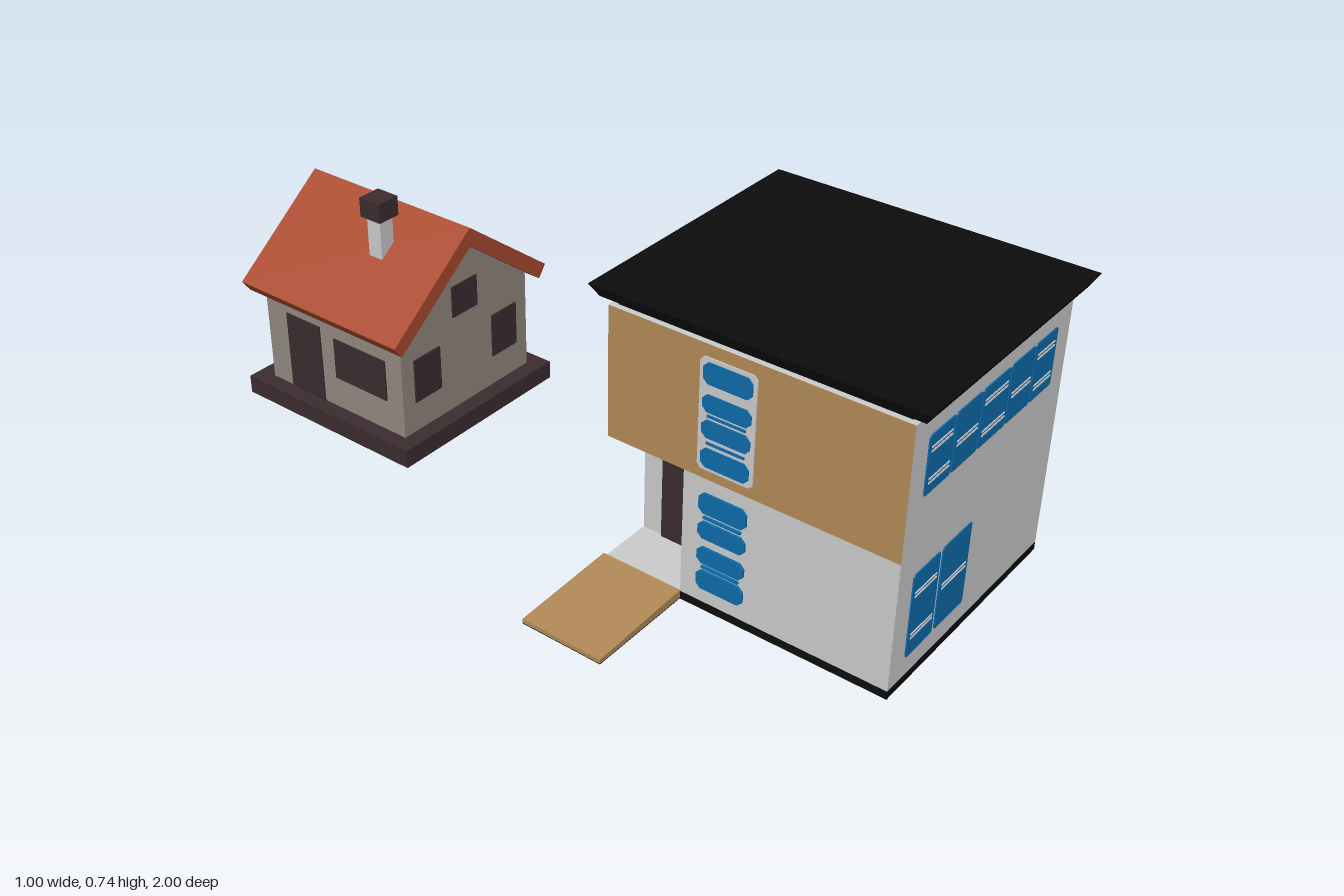
import * as THREE from 'three';

const mat = (name, color) => Object.assign(new THREE.MeshStandardMaterial({ color }), { name });
const wall = mat('light grey wall', 0xcbcbcb);
const black = mat('black trim', 0x0d0d0d);
const tan = mat('tan cladding', 0xb28a57);
const blue = mat('blue glass', 0x0e6bab);
const stone = mat('warm grey wall', 0x91897f);
const dark = mat('dark brown', 0x3b2c2f);
const tile = mat('red roof tile', 0xaa492e);

function add(parent, name, geometry, material) {
  const mesh = new THREE.Mesh(geometry, material);
  mesh.name = name;
  parent.add(mesh);
  return mesh;
}

// Box given by its two limits along each axis
function box(parent, name, [x0, x1], [y0, y1], [z0, z1], material) {
  const mesh = add(parent, name, new THREE.BoxGeometry(x1 - x0, y1 - y0, z1 - z0), material);
  mesh.position.set((x0 + x1) / 2, (y0 + y1) / 2, (z0 + z1) / 2);
  return mesh;
}

function extrude(points, depth) {
  const shape = new THREE.Shape(points.map(([x, y]) => new THREE.Vector2(x, y)));
  return new THREE.ExtrudeGeometry(shape, { depth, bevelEnabled: false });
}

// Upright group whose local +z points out of a wall
function wallGroup(parent, name, x, z, angle) {
  const g = new THREE.Group();
  g.name = name;
  g.position.set(x, 0, z);
  g.rotation.y = angle;
  parent.add(g);
  return g;
}

// Thin plate with cut corners
function pane(parent, name, x0, x1, y0, y1, c, out, material) {
  const geo = extrude([[x0 + c, y0], [x1 - c, y0], [x1, y0 + c], [x1, y1 - c],
    [x1 - c, y1], [x0 + c, y1], [x0, y1 - c], [x0, y0 + c]], out);
  return add(parent, name, geo, material);
}

// Column of glass crossed by pairs of fine glazing bars
function glassColumn(parent, x0, x1, y0, y1, cuts) {
  pane(parent, 'glassPane', x0 + 0.002, x1 - 0.002, y0, y1, 0.004, 0.003, blue);
  for (const y of cuts) for (const d of [-0.005, 0.005])
    box(parent, 'glazingBar', [x0 + 0.012, x1 - 0.012], [y + d - 0.002, y + d + 0.002], [0, 0.005], wall);
}

function wideWindows(parent, name, x, z, angle) {
  const g = wallGroup(parent, name, x, z, angle);
  const edges = [-0.277, -0.17, -0.06, 0.062, 0.17, 0.273];
  for (let i = 0; i < 5; i++)
    glassColumn(g, edges[i], edges[i + 1], 0.49, 0.635, i % 2 ? [0.557] : [0.6, 0.523]);
  glassColumn(g, -0.277, -0.164, 0.075, 0.292, [0.237, 0.127]);
  glassColumn(g, -0.157, -0.03, 0.075, 0.292, [0.185]);
}

function slimWindows(parent, name, x, z, angle) {
  const g = wallGroup(parent, name, x, z, angle);
  pane(g, 'windowFrame', -0.13, 0.014, 0.38, 0.66, 0.01, 0.003, wall);
  const rows = [[0.597, 0.65], [0.528, 0.572], [0.464, 0.509], [0.389, 0.438],
    [0.267, 0.32], [0.2, 0.245], [0.132, 0.176], [0.062, 0.112]];
  for (const [y0, y1] of rows) pane(g, 'glassPane', -0.12, 0.004, y0, y1, 0.012, 0.006, blue);
  for (const y of [0.519, 0.451, 0.256, 0.122])
    box(g, 'glassSliver', [-0.107, -0.009], [y - 0.003, y + 0.003], [0, 0.006], blue);
}

function largeHouse() {
  const g = new THREE.Group();
  g.name = 'largeHouse';
  const X = [-0.21, 0.46], Z = [0.21, 0.96], cx = 0.125, cz = 0.585;
  box(g, 'plinth', X, [0, 0.022], Z, black);

  // Ground floor with a corner cut out for the porch
  const plan = [[-0.21, -0.96], [0.46, -0.96], [0.46, -0.21], [-0.07, -0.21], [-0.07, -0.42], [-0.21, -0.42]];
  const ground = add(g, 'groundFloor', extrude(plan, 0.333).rotateX(-Math.PI / 2), wall);
  ground.position.y = 0.022;
  box(g, 'upperFloor', X, [0.355, 0.69], Z, [tan, tan, wall, wall, wall, wall]);
  box(g, 'porchFloor', [-0.21, -0.07], [0.021, 0.025], [0.21, 0.42], wall);
  box(g, 'frontDoor', [-0.076, -0.068], [0.025, 0.315], [0.265, 0.385], dark);

  // Sloping entrance ramp
  const ramp = add(g, 'ramp', extrude([[-0.5, 0.002], [-0.21, 0.002], [-0.21, 0.024], [-0.5, 0.013]], 0.22), tan);
  ramp.position.z = 0.2;
  box(g, 'rampUnderside', [-0.5, -0.21], [0, 0.002], [0.2, 0.42], black);

  // Flat roof flaring outwards to its top
  box(g, 'roofNeck', [-0.195, 0.445], [0.688, 0.706], [0.225, 0.945], black);
  const slab = new THREE.BoxGeometry(0.725, 0.032, 0.83);
  const p = slab.attributes.position;
  for (let i = 0; i < p.count; i++) if (p.getY(i) < 0) {
    p.setX(i, p.getX(i) - Math.sign(p.getX(i)) * 0.018);
    p.setZ(i, p.getZ(i) - Math.sign(p.getZ(i)) * 0.018);
  }
  slab.computeVertexNormals();
  add(g, 'flatRoof', slab, black).position.set(0.1325, 0.72, cz);

  wideWindows(g, 'frontWindows', cx, 0.96, 0);
  wideWindows(g, 'backWindows', cx, 0.21, Math.PI);
  slimWindows(g, 'leftWindows', 0.46, cz, Math.PI / 2);
  slimWindows(g, 'rightWindows', -0.21, cz, -Math.PI / 2);
  return g;
}

function smallHouse() {
  const g = new THREE.Group();
  g.name = 'smallHouse';
  const cx = 0.057, cz = -0.705;
  g.position.set(cx, 0, cz);
  box(g, 'plinth', [-0.278, 0.278], [0, 0.05], [-0.29, 0.285], dark);

  // Gabled walls
  const gable = [[-0.235, 0.05], [0.235, 0.05], [0.235, 0.33], [0, 0.512], [-0.235, 0.33]];
  add(g, 'walls', extrude(gable, 0.48), stone).position.z = -0.24;

  // Pitched roof with square-cut eaves
  const roof = [[0, 0.56], [-0.282, 0.342], [-0.258, 0.309], [0, 0.509], [0.258, 0.309], [0.282, 0.342]];
  add(g, 'pitchedRoof', extrude(roof, 0.545), tile).position.z = -0.275;

  // Chimney
  box(g, 'chimneyShaft', [-0.127, -0.083], [0.43, 0.572], [0.043, 0.087], wall);
  box(g, 'chimneyCap', [-0.138, -0.072], [0.57, 0.622], [0.032, 0.098], dark);

  // Gable windows at both ends
  for (const s of [1, -1]) {
    const w = wallGroup(g, s > 0 ? 'frontGableWindows' : 'backGableWindows', 0, s * 0.24, s > 0 ? 0 : Math.PI);
    for (const x of [-0.145, 0.145]) box(w, 'window', [x - 0.047, x + 0.047], [0.135, 0.257], [0, 0.004], dark);
    box(w, 'atticWindow', [-0.046, 0.046], [0.315, 0.402], [0, 0.004], dark);
  }

  // Long two-part window on the left side
  const l = wallGroup(g, 'leftWindows', 0.235, 0, Math.PI / 2);
  box(l, 'upperWindow', [-0.208, 0.197], [0.223, 0.29], [0, 0.004], dark);
  box(l, 'lowerWindow', [-0.208, 0.197], [0.095, 0.208], [0, 0.004], dark);

  // Door and window on the right side
  const r = wallGroup(g, 'rightOpenings', -0.235, 0, -Math.PI / 2);
  box(r, 'door', [-0.165, -0.045], [0.05, 0.27], [0, 0.004], dark);
  box(r, 'window', [0.005, 0.185], [0.14, 0.255], [0, 0.004], dark);
  return g;
}

export function createModel() {
  const model = new THREE.Group();
  model.name = 'twoHouses';
  model.add(largeHouse(), smallHouse());
  return model;
}
